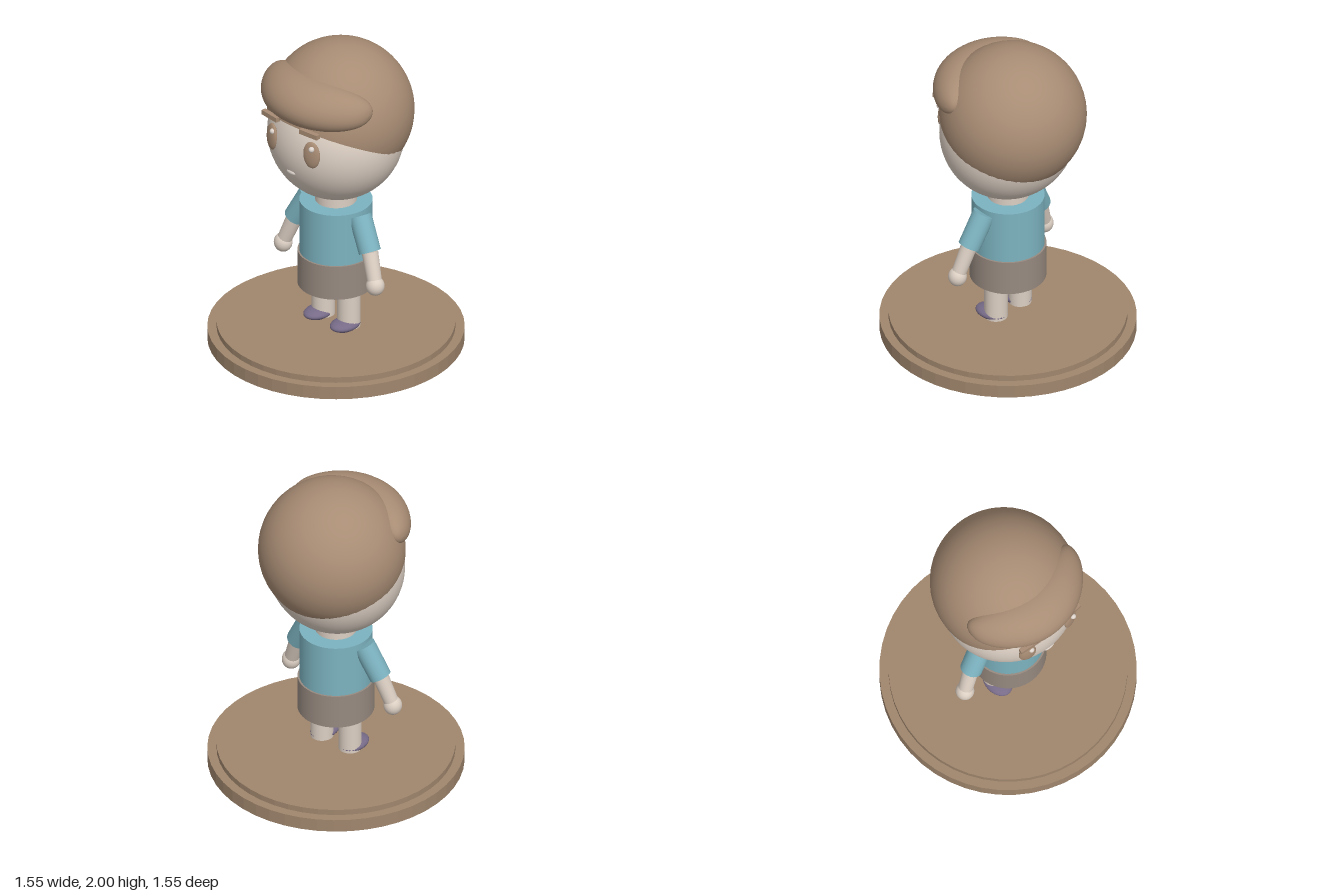
import * as THREE from 'three';

const material = (name, color, side = THREE.FrontSide) => {
  const m = new THREE.MeshStandardMaterial({ color, side });
  m.name = name;
  return m;
};

export function createModel() {
  const model = new THREE.Group();
  model.name = 'figurine';
  const brown = material('brown', 0xa88c74, THREE.DoubleSide);
  const wood = material('wood', 0xa0866d);
  const skin = material('skin', 0xdccfc3);
  const teal = material('teal', 0x7cb3c0);
  const taupe = material('taupe', 0x978a80);
  const purple = material('purple', 0x776b88);
  const pale = material('pale', 0xdfd5cd);

  const add = (name, geometry, mat, x = 0, y = 0, z = 0) => {
    const mesh = new THREE.Mesh(geometry, mat);
    mesh.name = name;
    mesh.position.set(x, y, z);
    model.add(mesh);
    return mesh;
  };
  const ellipsoid = (name, mat, [x, y, z], [rx, ry, rz], seg = 32) =>
    add(name, new THREE.SphereGeometry(1, seg, Math.ceil(seg * 0.75)).scale(rx, ry, rz), mat, x, y, z);
  // Upright cylinder between two heights
  const drum = (name, mat, r, y0, y1, x = 0, seg = 48) =>
    add(name, new THREE.CylinderGeometry(r, r, y1 - y0, seg), mat, x, (y0 + y1) / 2, 0);
  // Tapered cylinder between two points
  const limb = (name, mat, a, b, ra, rb) => {
    const from = new THREE.Vector3(...a), to = new THREE.Vector3(...b);
    const dir = to.clone().sub(from);
    const mesh = add(name, new THREE.CylinderGeometry(rb, ra, dir.length(), 24), mat);
    mesh.position.copy(from).add(to).multiplyScalar(0.5);
    mesh.quaternion.setFromUnitVectors(new THREE.Vector3(0, 1, 0), dir.normalize());
    return mesh;
  };

  // Stepped, faceted stand
  for (const [name, r, y0, y1] of [['standBase', 0.775, 0, 0.083], ['standTop', 0.72, 0.083, 0.12]]) {
    const step = drum(name, wood, r, y0, y1);
    step.geometry = step.geometry.toNonIndexed();
    step.geometry.computeVertexNormals();
  }

  // Body
  drum('shorts', taupe, 0.232, 0.385, 0.61);
  drum('shirt', teal, 0.221, 0.61, 0.955);
  drum('neck', skin, 0.126, 0.94, 1.04);

  // Head, with a hair cap whose rim slopes down to the nape
  ellipsoid('head', skin, [0, 1.42, 0], [0.422, 0.42, 0.408], 48);
  const cap = new THREE.SphereGeometry(0.445, 48, 32, 0, Math.PI * 2, 0, Math.PI * 0.601);
  add('hairCap', cap, brown, 0, 1.555, -0.04).rotation.x = -0.455;

  // Fringe: a blunt-ended roll bent back around the forehead
  const roll = new THREE.SphereGeometry(1, 48, 32).rotateZ(Math.PI / 2);
  const p = roll.attributes.position;
  for (let i = 0; i < p.count; i++) {
    const t = Math.min(1, Math.abs(p.getX(i)));
    const round = Math.sqrt(Math.max(1e-9, 1 - t * t));
    const blunt = Math.pow(Math.max(0, 1 - Math.pow(t, 2.5)), 0.4) / round;
    const x = p.getX(i) * 0.41;
    const dz = p.getZ(i) * blunt * 0.17;
    const dy = p.getY(i) * blunt * 0.138;
    p.setXYZ(i, x, dy - dz * 0.15 - 0.15 * x * x, dz - 0.9 * x * x);
  }
  roll.computeVertexNormals();
  add('fringe', roll, brown, 0, 1.75, 0.287);

  // Face
  ellipsoid('mouth', pale, [0, 1.283, 0.382], [0.037, 0.015, 0.012], 20);

  for (const s of [1, -1]) {
    const side = s > 0 ? 'left' : 'right';
    const eye = ellipsoid(side + 'Eye', brown, [s * 0.168, 1.463, 0.376], [0.056, 0.087, 0.022]);
    eye.rotation.set(-0.05, s * 0.3, s * 0.05);
    ellipsoid(side + 'EyeGlint', pale, [s * 0.165 + 0.016, 1.51, 0.391], [0.018, 0.018, 0.018], 16);
    const brow = add(side + 'Brow', new THREE.BoxGeometry(0.138, 0.03, 0.03), brown, s * 0.164, 1.612, 0.392);
    brow.rotation.y = s * 0.1;

    // Arms
    const shoulder = [s * 0.209, 0.92, 0.005], elbow = [s * 0.318, 0.722, 0.03], wrist = [s * 0.384, 0.55, 0.055];
    limb(side + 'Sleeve', teal, shoulder, elbow, 0.07, 0.068);
    limb(side + 'Forearm', skin, elbow, wrist, 0.05, 0.045);
    ellipsoid(side + 'Hand', skin, [s * 0.391, 0.528, 0.058], [0.057, 0.061, 0.057], 24);

    // Legs and shoes
    drum(side + 'Leg', skin, 0.071, 0.13, 0.4, s * 0.108, 24);
    const shoe = ellipsoid(side + 'Shoe', purple, [s * 0.113, 0.15, 0.035], [0.077, 0.035, 0.106], 24);
    const v = shoe.geometry.attributes.position;
    for (let i = 0; i < v.count; i++) if (v.getY(i) < -0.025) v.setY(i, -0.03);
    shoe.geometry.computeVertexNormals();
  }
  return model;
}
